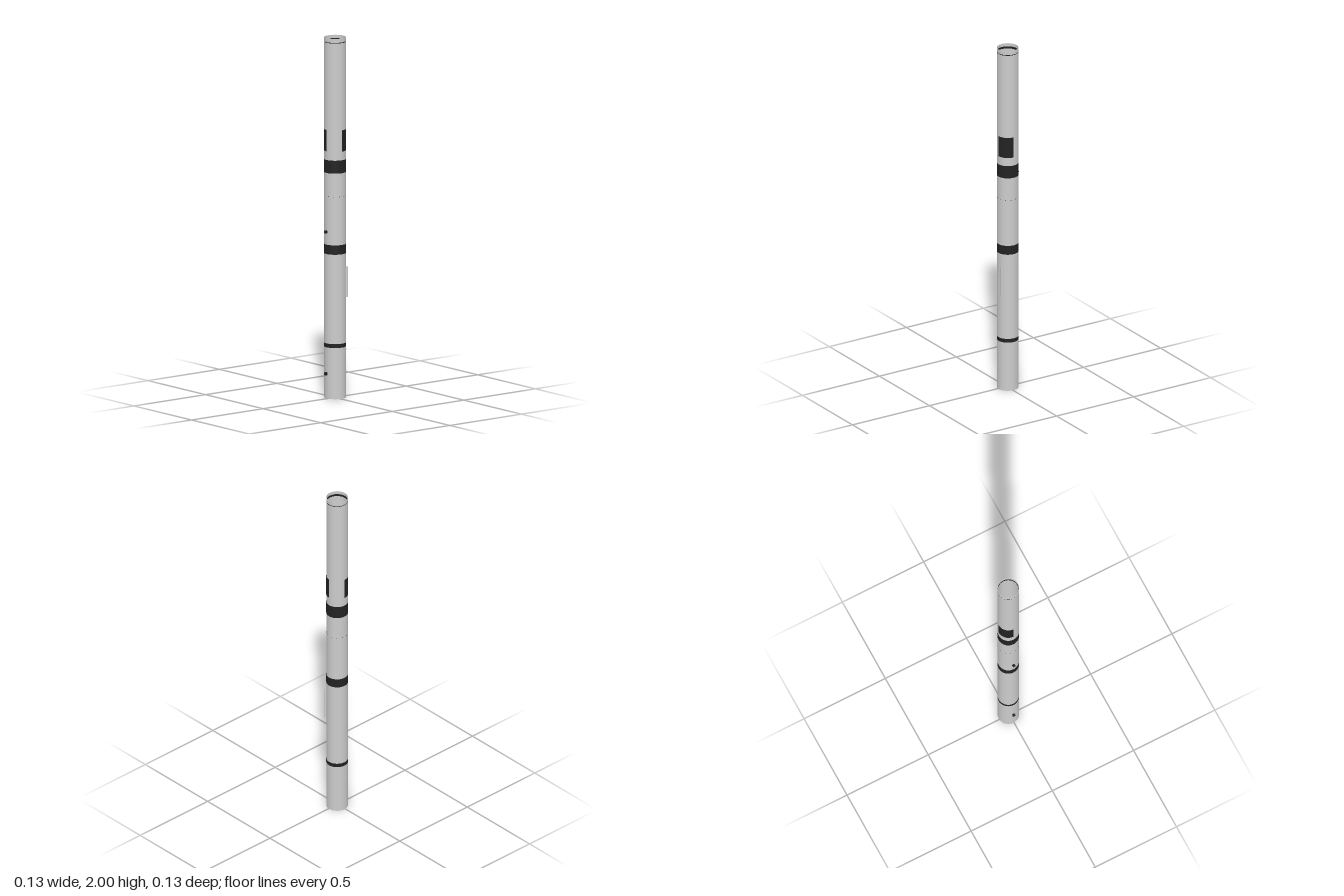
import * as THREE from 'three';

const R = 0.059, INNER = 0.047, SEG = 64;
const grey = new THREE.MeshStandardMaterial({ color: 0xcccccc, side: THREE.DoubleSide });
const black = new THREE.MeshStandardMaterial({ color: 0x222222, side: THREE.DoubleSide });

export function createModel() {
  const model = new THREE.Group();
  const rocket = new THREE.Group();
  rocket.name = 'airframe';
  rocket.position.set(-0.004, 0, -0.006);
  model.add(rocket);

  const add = (name, geometry, material, x = 0, y = 0, z = 0) => {
    const mesh = new THREE.Mesh(geometry, material);
    mesh.name = name;
    mesh.position.set(x, y, z);
    rocket.add(mesh);
    return mesh;
  };

  // Hollow wall from y0 to y1: four separate surfaces keep the rims sharp
  const pipe = (name, ro, ri, y0, y1, material, x = 0, z = 0, seg = SEG) => {
    const h = y1 - y0, mid = (y0 + y1) / 2;
    add(name + 'Outside', new THREE.CylinderGeometry(ro, ro, h, seg, 1, true), material, x, mid, z);
    add(name + 'Inside', new THREE.CylinderGeometry(ri, ri, h, seg, 1, true), material, x, mid, z);
    for (const [y, turn] of [[y0, Math.PI / 2], [y1, -Math.PI / 2]]) {
      add(name + 'Rim', new THREE.RingGeometry(ri, ro, seg), material, x, y, z).rotation.x = turn;
    }
  };

  // Body tube sections, with a narrow joint near the top
  pipe('bodyTube', R, R - 0.0015, 0, 1.974, grey);
  pipe('topCollar', R, R - 0.0015, 1.978, 2, grey);
  pipe('topJoint', R - 0.0005, R - 0.002, 1.97, 1.982, black);

  // Painted bands
  for (const [y0, y1] of [[0.284, 0.306], [0.802, 0.854], [1.252, 1.324]]) {
    add('band', new THREE.CylinderGeometry(R + 0.0005, R + 0.0005, y1 - y0, SEG, 1, true),
      black, 0, (y0 + y1) / 2, 0);
  }

  // Opposite quarter-turn roll pattern panels
  for (const start of [Math.PI / 2, -Math.PI / 2]) {
    add('rollPanel', new THREE.CylinderGeometry(R + 0.0005, R + 0.0005, 0.118, SEG / 4, 1, true,
      start, Math.PI / 2), black, 0, 1.431, 0);
  }

  // Inner motor tube held by centring rings
  pipe('motorTube', INNER + 0.001, INNER, 0, 0.3, grey);
  for (const y of [0, 0.28]) pipe('centringRing', R - 0.001, INNER, y, y + 0.01, black);

  // Spool-shaped rail buttons on the front
  const spool = [[0, 0], [0.009, 0], [0.009, 0.002], [0.005, 0.003], [0.005, 0.007],
    [0.009, 0.008], [0.009, 0.011], [0.004, 0.011], [0.004, 0.009], [0, 0.009]]
    .map(([r, y]) => new THREE.Vector2(r, y));
  for (const y of [0.138, 0.925]) {
    const geometry = new THREE.LatheGeometry(spool, 20).toNonIndexed();
    geometry.computeVertexNormals();
    add('railButton', geometry, black, 0, y, R).rotation.x = Math.PI / 2;
  }

  // Thin guide tube on the side
  pipe('guideTube', 0.008, 0.007, 0.562, 0.73, grey, 0.058, -0.034, 24);

  // Radial pins: a ring of small rivets and one switch on the band
  const pin = (name, angle, y, radius, length) => {
    const geometry = new THREE.CylinderGeometry(radius, radius, length, 10);
    geometry.rotateX(Math.PI / 2);
    const mesh = add(name, geometry, black, Math.sin(angle) * R, y, Math.cos(angle) * R);
    mesh.rotation.y = angle;
  };
  for (let i = 0; i < 12; i++) pin('rivet', (i + 0.5) * Math.PI / 6, 1.122, 0.002, 0.002);
  pin('switch', Math.atan2(-0.052, -0.031), 1.268, 0.003, 0.007);

  return model;
}
